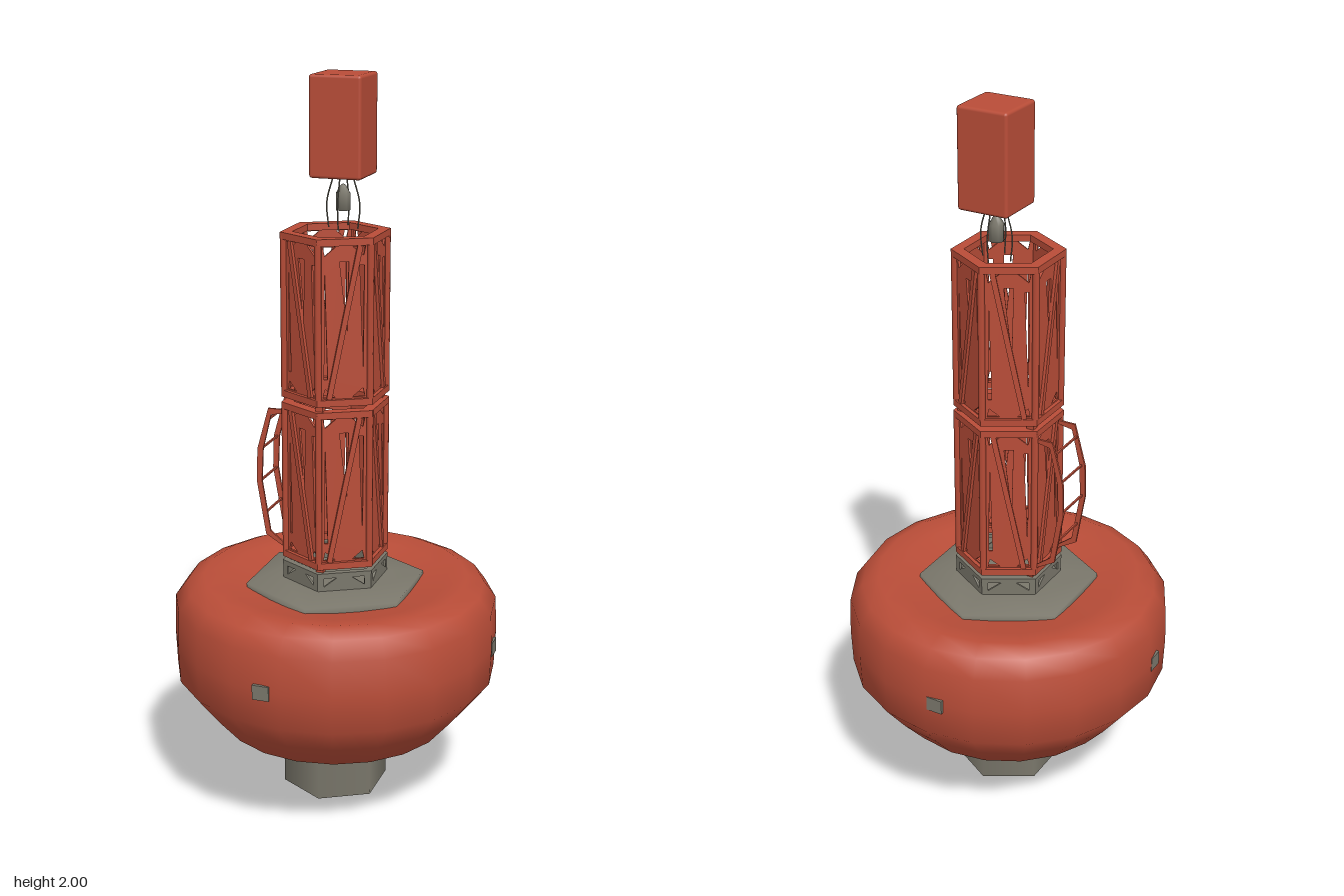
import * as THREE from 'three';
import { RoundedBoxGeometry } from 'three/addons/geometries/RoundedBoxGeometry.js';

const red = new THREE.MeshStandardMaterial({ color: 0xb94d38, side: THREE.DoubleSide });
red.name = 'buoyRed';
const redFlat = red; // one red throughout
const grey = new THREE.MeshStandardMaterial({ color: 0x7a776b, side: THREE.DoubleSide });
grey.name = 'metalGrey';

const R = 0.145, APOTHEM = R * Math.cos(Math.PI / 6);

function add(parent, name, geometry, material, x = 0, y = 0, z = 0) {
  const mesh = new THREE.Mesh(geometry, material);
  mesh.name = name;
  mesh.position.set(x, y, z);
  parent.add(mesh);
  return mesh;
}

const lathe = (pts, sides) =>
  new THREE.LatheGeometry(pts.map(([r, y]) => new THREE.Vector2(r, y)), sides);

// Facetted hexagonal ring with a rectangular section
function hexRing(inner, outer, y0, y1) {
  const g = lathe([[inner, y0], [outer, y0], [outer, y1], [inner, y1], [inner, y0]], 6).toNonIndexed();
  g.computeVertexNormals();
  return g;
}

function tube(points, radius, sides = 4) {
  const curve = new THREE.CatmullRomCurve3(points.map(p => new THREE.Vector3(...p)));
  return new THREE.TubeGeometry(curve, 10, radius, sides);
}

// Thin plate outlined by w and h, pierced by triangular openings
function piercedPlate(w, h, triangles) {
  const rect = [[-w / 2, 0], [w / 2, 0], [w / 2, h], [-w / 2, h]];
  const toVecs = list => list.map(([x, y]) => new THREE.Vector2(x, y));
  const shape = new THREE.Shape(toVecs(rect));
  triangles.forEach(t => shape.holes.push(new THREE.Path(toVecs(t))));
  return new THREE.ExtrudeGeometry(shape, { depth: 0.006, bevelEnabled: false });
}

// Hexagonal tower section: end rings, corner posts, pierced panels and braces
function towerSection(name, y0, y1) {
  const section = new THREE.Group();
  section.name = name;
  const h = y1 - y0;
  add(section, 'lowerRing', hexRing(0.112, R, y0, y0 + 0.018), redFlat);
  add(section, 'upperRing', hexRing(0.112, R, y1 - 0.018, y1), redFlat);
  const panel = piercedPlate(0.138, h, [
    [[-0.055, h - 0.022], [-0.022, h - 0.022], [-0.05, h - 0.045]],
    [[0.055, h - 0.022], [0.022, h - 0.022], [0.05, h - 0.045]],
    [[-0.055, 0.022], [-0.022, 0.022], [-0.05, 0.045]],
    [[0.055, 0.022], [0.022, 0.022], [0.05, 0.045]],
    [[-0.052, 0.07], [-0.043, 0.07], [-0.05, h - 0.09]],
    [[0.052, h - 0.07], [0.04, h - 0.07], [0.05, 0.1]],
    [[-0.012, h - 0.06], [0.012, h - 0.06], [0.008, h * 0.45]],
  ]);
  for (let i = 0; i < 6; i++) {
    const side = new THREE.Group();
    side.name = 'towerSide';
    side.rotation.y = (i + 0.5) * Math.PI / 3;
    section.add(side);
    add(side, 'panel', panel, redFlat, 0, y0, APOTHEM - 0.016);
    const brace = add(side, 'brace', new THREE.BoxGeometry(0.014, h - 0.03, 0.008), redFlat,
      0, y0 + h / 2, APOTHEM - 0.006);
    brace.rotation.z = (i % 2 ? 1 : -1) * 0.2;
    const a = i * Math.PI / 3;
    const post = add(section, 'cornerPost', new THREE.CylinderGeometry(0.009, 0.009, h, 6), redFlat,
      Math.sin(a) * (R - 0.009), y0 + h / 2, Math.cos(a) * (R - 0.009));
    post.rotation.y = a;
  }
  return section;
}

export function createModel() {
  const buoy = new THREE.Group();
  buoy.name = 'buoy';

  // Rounded float with a shallow dish on top
  add(buoy, 'float', lathe([
    [0.2, 0.25], [0.27, 0.232], [0.315, 0.25], [0.38, 0.325], [0.438, 0.4], [0.442, 0.5],
    [0.438, 0.6], [0.405, 0.645], [0.36, 0.665], [0.3, 0.655], [0.2, 0.635],
  ], 20), red);

  // Hexagonal core running through the float, with a flange at each end
  add(buoy, 'baseCore', lathe([[0.001, 0.05], [R, 0.05], [R, 0.05], [R, 0.235]], 6), grey);
  add(buoy, 'lowerFlange', lathe([[R, 0.226], [0.245, 0.236], [0.245, 0.26]], 6), grey);
  add(buoy, 'upperFlange', lathe([[0.245, 0.63], [0.245, 0.655], [R, 0.666], [0.001, 0.667]], 6), grey);

  // Collar under the tower
  const collar = new THREE.Group();
  collar.name = 'collar';
  buoy.add(collar);
  add(collar, 'collarRing', hexRing(0.125, R, 0.705, 0.716), grey);
  const collarPlate = piercedPlate(0.142, 0.052, [
    [[-0.055, 0.014], [-0.055, 0.038], [-0.02, 0.038]],
    [[0.055, 0.014], [0.055, 0.038], [0.02, 0.038]],
  ]);
  for (let i = 0; i < 6; i++) {
    const plate = new THREE.Group();
    plate.name = 'collarSide';
    plate.rotation.y = (i + 0.5) * Math.PI / 3;
    collar.add(plate);
    add(plate, 'collarPlate', collarPlate, grey, 0, 0.664, APOTHEM - 0.007);
  }

  // Two tower sections on small spacers
  buoy.add(towerSection('lowerTower', 0.727, 1.16), towerSection('upperTower', 1.175, 1.61));
  for (const y of [0.7215, 1.1675]) {
    for (let i = 0; i < 3; i++) {
      const a = i * Math.PI * 2 / 3;
      add(buoy, 'spacer', new THREE.BoxGeometry(0.02, 0.018, 0.02), red,
        Math.sin(a) * 0.12, y, Math.cos(a) * 0.12);
    }
  }

  // Ladder bowed out from the right side
  const ladder = new THREE.Group();
  ladder.name = 'ladder';
  buoy.add(ladder);
  const outer = [[-0.12, 1.135], [-0.168, 1.135], [-0.2, 1.02], [-0.203, 0.93], [-0.178, 0.78], [-0.12, 0.745]];
  const inner = [[-0.12, 0.755], [-0.165, 0.79], [-0.188, 0.93], [-0.184, 1.02], [-0.16, 1.118], [-0.12, 1.125]];
  const rail = new THREE.ExtrudeGeometry(
    new THREE.Shape([...outer, ...inner].map(p => new THREE.Vector2(...p))),
    { depth: 0.006, bevelEnabled: false });
  for (const z of [-0.067, 0.055]) add(ladder, 'ladderRail', rail, red, 0, 0, z);
  for (const [x, y] of [[-0.18, 0.84], [-0.193, 0.93], [-0.19, 1.02], [-0.173, 1.1]]) {
    add(ladder, 'ladderRung', new THREE.BoxGeometry(0.005, 0.005, 0.12), red, x, y, -0.003);
  }

  // Lantern top with its lamp and support wires
  const lantern = new THREE.Group();
  lantern.name = 'lantern';
  lantern.position.z = -0.06;
  buoy.add(lantern);
  add(lantern, 'lanternBox', new RoundedBoxGeometry(0.14, 0.26, 0.14, 2, 0.008), red, 0, 1.87, 0);
  add(lantern, 'lamp', lathe([[0.001, 1.652], [0.02, 1.652], [0.02, 1.695], [0.008, 1.715], [0.001, 1.72]], 8), grey);
  for (let i = 0; i < 4; i++) {
    const c = Math.cos(i * Math.PI / 2), s = Math.sin(i * Math.PI / 2);
    add(lantern, 'supportWire', tube([
      [0.04 * c, 1.605, 0.04 * s], [0.045 * c, 1.67, 0.045 * s], [0.028 * c, 1.735, 0.028 * s],
    ], 0.002), grey);
  }

  // Mooring eye under the base
  add(buoy, 'mooringEye', new THREE.TorusGeometry(0.019, 0.008, 5, 10), grey, 0, 0.027, 0);

  // Small grey fittings around the float
  for (let i = 0; i < 4; i++) {
    const fitting = new THREE.Group();
    fitting.name = 'floatFitting';
    fitting.rotation.y = i * Math.PI / 2;
    buoy.add(fitting);
    add(fitting, 'fittingPlate', new THREE.BoxGeometry(0.045, 0.04, 0.009), grey,
      i === 0 ? -0.05 : 0.03, 0.497, 0.437);
  }
  return buoy;
}
